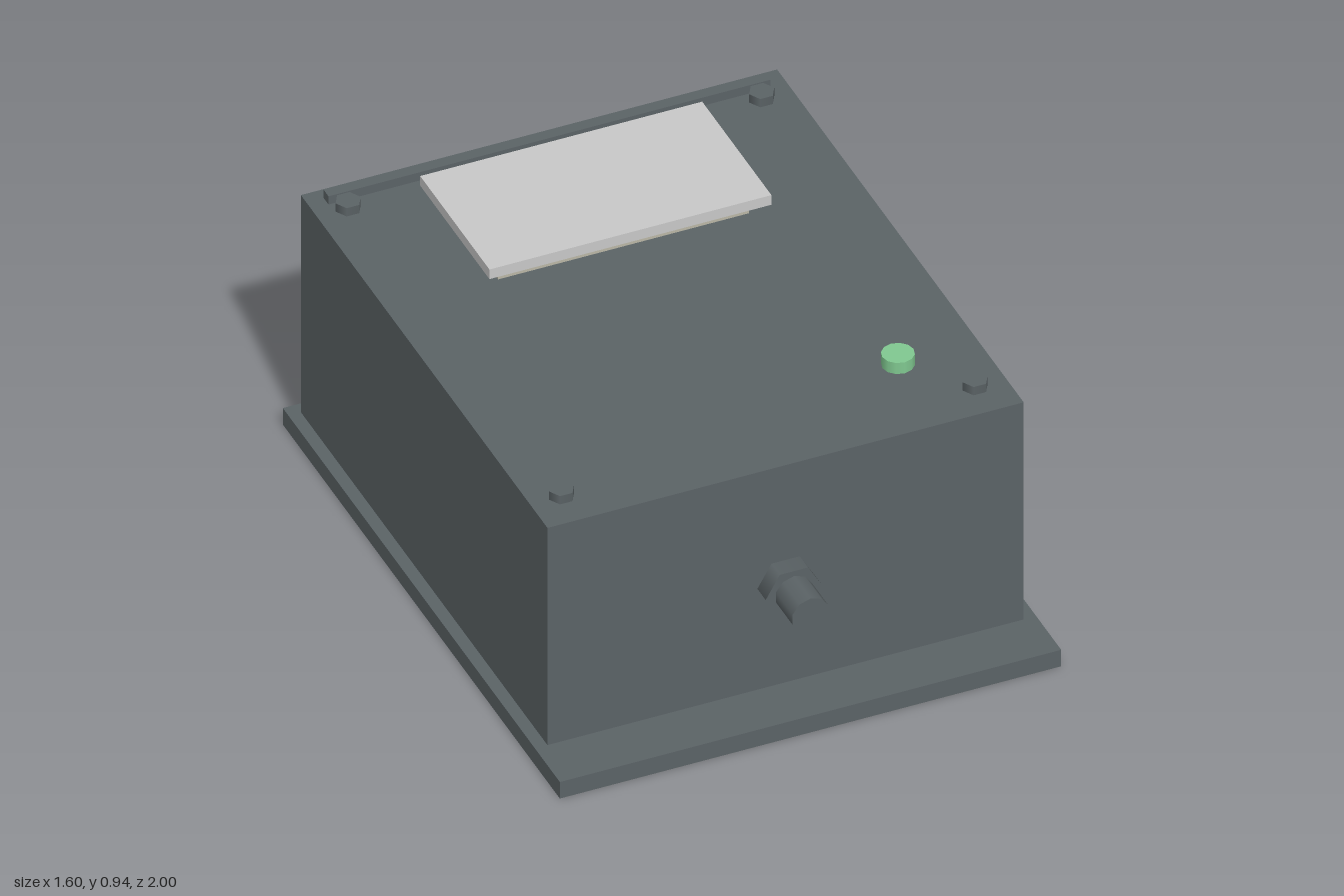
import * as THREE from 'three';

const material = (name, color) => {
  const m = new THREE.MeshStandardMaterial({ color });
  m.name = name;
  return m;
};

export function createModel() {
  const group = new THREE.Group();
  const casing = material('slate casing', 0x5b6366);
  const beige = material('beige display', 0xbab7a6);
  const clear = material('pale cover', 0xc8c8c8);
  const green = material('green button', 0x80c890);

  const add = (name, geometry, mat, x, y, z) => {
    const mesh = new THREE.Mesh(geometry, mat);
    mesh.name = name;
    mesh.position.set(x, y, z);
    group.add(mesh);
  };
  // Box given by its minimum and maximum along each axis
  const box = (name, mat, [x0, x1], [y0, y1], [z0, z1]) =>
    add(name, new THREE.BoxGeometry(x1 - x0, y1 - y0, z1 - z0), mat,
      (x0 + x1) / 2, (y0 + y1) / 2, (z0 + z1) / 2);
  // Hexagonal prism with corners pointing along x
  const hexagon = (radius, height) =>
    new THREE.CylinderGeometry(radius, radius, height, 6).rotateY(Math.PI / 2);

  // Enclosure on its mounting plate
  box('mountingPlate', casing, [-0.8, 0.8], [0, 0.06], [-1, 1]);
  box('enclosure', casing, [-0.76, 0.76], [0.06, 0.85], [-0.96, 0.82]);
  box('hingeStrip', casing, [-0.705, 0.705], [0.85, 0.88], [-0.92, -0.885]);

  // Display with a raised cover
  box('display', beige, [-0.4, 0.4], [0.85, 0.885], [-0.75, -0.35]);
  box('displayCover', clear, [-0.45, 0.45], [0.9, 0.935], [-0.8, -0.3]);

  // Lid screws
  for (const x of [-0.66, 0.66])
    for (const z of [-0.845, 0.695])
      add('lidScrew', hexagon(0.04, 0.03), casing, x, 0.865, z);

  // Push button
  add('button', new THREE.CylinderGeometry(0.05, 0.05, 0.04, 12), green, 0.5, 0.87, 0.5);

  // Cable gland on the front
  add('glandNut', hexagon(0.09, 0.06).rotateX(Math.PI / 2), casing, 0, 0.427, 0.85);
  add('glandStem', new THREE.CylinderGeometry(0.06, 0.06, 0.12, 10).rotateX(Math.PI / 2),
    casing, 0, 0.427, 0.94);

  return group;
}
